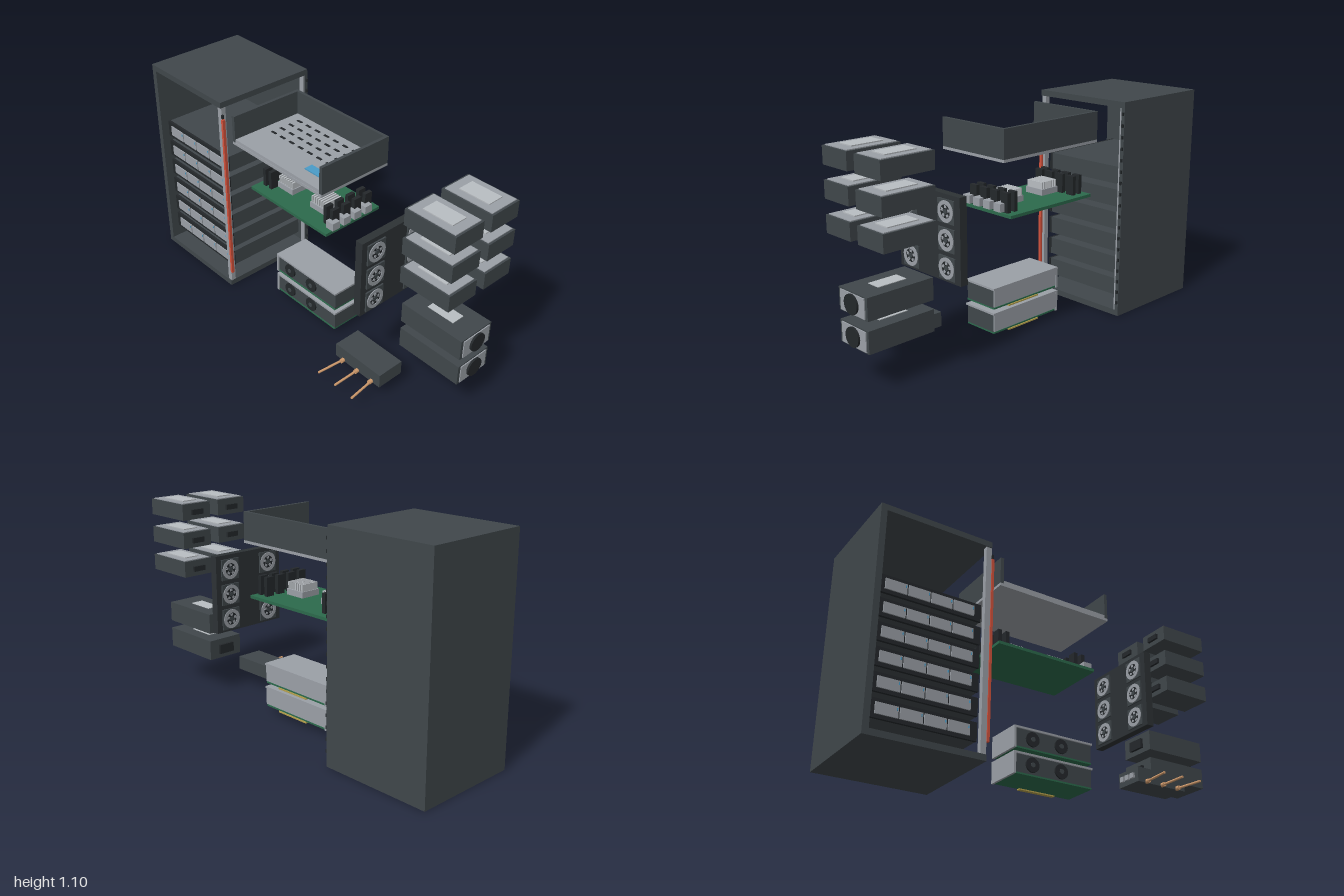
import * as THREE from 'three';

const mat = (color) => new THREE.MeshStandardMaterial({ color });
const M = {
  dark: mat(0x40474b), black: mat(0x24282b), wall: mat(0x2d3235), grey: mat(0x9ba0a7),
  light: mat(0xb9bec2), red: mat(0xd4523c), green: mat(0x2c6a4c), blue: mat(0x4a9cc8),
  copper: mat(0xcf9a6c), gold: mat(0xb5a04c),
};

// Box given by its min and max on each axis
function box(parent, name, m, x0, x1, y0, y1, z0, z1) {
  const mesh = new THREE.Mesh(new THREE.BoxGeometry(x1 - x0, y1 - y0, z1 - z0), M[m]);
  mesh.position.set((x0 + x1) / 2, (y0 + y1) / 2, (z0 + z1) / 2);
  mesh.name = name;
  parent.add(mesh);
  return mesh;
}

// Cylinder between two points
function rod(parent, name, m, r, a, b, sides = 24) {
  const p = new THREE.Vector3(...a), d = new THREE.Vector3(...b).sub(p);
  const mesh = new THREE.Mesh(new THREE.CylinderGeometry(r, r, d.length(), sides), M[m]);
  mesh.position.copy(p).addScaledVector(d, 0.5);
  mesh.quaternion.setFromUnitVectors(new THREE.Vector3(0, 1, 0), d.normalize());
  mesh.name = name;
  parent.add(mesh);
  return mesh;
}

function group(parent, name, x = 0, y = 0, z = 0) {
  const g = new THREE.Group();
  g.name = name;
  g.position.set(x, y, z);
  parent.add(g);
  return g;
}

// Cabinet, open at the front and on one side
function addCabinet(root) {
  const g = group(root, 'cabinet');
  box(g, 'cabinetBase', 'dark', -1, -0.43, 0, 0.03, -0.35, 0.2);
  box(g, 'cabinetRoof', 'dark', -1, -0.43, 1.07, 1.1, -0.35, 0.2);
  box(g, 'cabinetSide', 'dark', -1, -0.97, 0.03, 1.07, -0.35, 0.2);
  box(g, 'cabinetBack', 'dark', -0.97, -0.43, 0.03, 1.07, -0.35, -0.33);
  box(g, 'frontPost', 'grey', -0.458, -0.43, 0.03, 1.07, 0.17, 0.195);
  box(g, 'rearPost', 'grey', -0.458, -0.43, 0.03, 1.07, -0.33, -0.322);
  box(g, 'powerStrip', 'red', -0.43, -0.417, 0.09, 1.01, 0.185, 0.2);
  box(g, 'stripCap', 'black', -0.43, -0.42, 1.015, 1.035, 0.188, 0.198);
  for (let i = 0; i < 18; i++) {
    const y = 0.065 + i * 0.057;
    box(g, 'hinge', 'black', -0.43, -0.421, y, y + 0.016, -0.347, -0.338);
  }
  // Six rack units with four drive bays each
  for (let i = 0; i < 6; i++) {
    const u = group(g, 'rackUnit', 0, 0.097 + i * 0.117);
    box(u, 'unitBody', 'dark', -0.965, -0.46, 0, 0.088, -0.305, 0.145);
    box(u, 'unitBezel', 'black', -0.968, -0.457, 0, 0.088, 0.145, 0.158);
    for (let k = 0; k < 4; k++) {
      const x = -0.936 + k * 0.112;
      box(u, 'driveBay', 'grey', x, x + 0.105, 0.018, 0.07, 0.158, 0.164);
      box(u, 'driveLight', 'blue', x + 0.096, x + 0.101, 0.05, 0.062, 0.164, 0.166);
    }
  }
}

// Open tray with vent slots
function addTray(root) {
  const g = group(root, 'tray');
  box(g, 'trayBottom', 'grey', -0.37, 0.262, 0.897, 0.911, -0.232, 0.18);
  box(g, 'trayFloor', 'grey', -0.352, 0.245, 0.911, 0.928, -0.216, 0.178);
  box(g, 'trayWall', 'dark', -0.37, -0.352, 0.911, 1.05, -0.232, 0.18);
  box(g, 'trayWall', 'dark', 0.245, 0.262, 0.911, 1.05, -0.232, 0.18);
  box(g, 'trayBackWall', 'dark', -0.352, 0.245, 0.911, 1.05, -0.232, -0.216);
  box(g, 'trayLabel', 'blue', 0.07, 0.2, 0.928, 0.934, 0.065, 0.11);
  for (let r = 0; r < 4; r++) for (let c = 0; c < 8; c++) {
    const x = -0.295 + c * 0.065, z = -0.172 + r * 0.055;
    box(g, 'ventSlot', 'black', x, x + 0.032, 0.927, 0.931, z, z + 0.012);
  }
}

// Circuit board with heatsinks, memory and ports
function addBoard(root) {
  const g = group(root, 'mainBoard');
  box(g, 'boardPlate', 'green', -0.33, 0.22, 0.63, 0.645, -0.235, 0.113);
  for (const x of [-0.185, 0.055]) {
    box(g, 'heatsinkBase', 'grey', x - 0.055, x + 0.055, 0.645, 0.675, -0.095, 0.015);
    for (let i = 0; i < 7; i++) {
      const fx = x - 0.05 + i * 0.0155;
      box(g, 'heatsinkFin', 'light', fx, fx + 0.008, 0.675, 0.71, -0.09, 0.01);
    }
  }
  for (let i = 0; i < 4; i++) {
    const z = 0.035 - i * 0.07;
    for (const x of [-0.292, -0.25, 0.15, 0.194]) {
      box(g, 'memoryModule', 'black', x - 0.01, x + 0.01, 0.645, 0.74, z - 0.022, z + 0.022);
    }
    box(g, 'portBlock', 'grey', 0.183, 0.23, 0.65, 0.69, z, z + 0.045);
  }
}

// Fan wall: two columns of three fans, detailed on both faces
function addFanWall(root) {
  const g = group(root, 'fanWall', 0.507);
  box(g, 'fanPanel', 'wall', -0.02, 0.02, 0.385, 0.79, -0.235, 0.185);
  const ring = new THREE.Shape().absarc(0, 0, 0.05, 0, Math.PI * 2);
  ring.holes.push(new THREE.Path().absarc(0, 0, 0.032, 0, Math.PI * 2, true));
  const ringGeo = new THREE.ExtrudeGeometry(ring, { depth: 0.004, bevelEnabled: false, curveSegments: 20 });
  for (const y of [0.452, 0.583, 0.714]) for (const z of [0.1, -0.15]) {
    const f = group(g, 'fan', 0, y, z);
    box(f, 'fanFrame', 'dark', -0.028, 0.028, -0.054, 0.054, -0.054, 0.054);
    for (const s of [1, -1]) {
      const face = group(f, 'fanFace', s * 0.028);
      face.rotation.y = s * Math.PI / 2;
      const r = new THREE.Mesh(ringGeo, M.grey);
      r.name = 'fanRing';
      face.add(r);
      rod(face, 'fanWell', 'black', 0.032, [0, 0, 0], [0, 0, 0.001]);
      rod(face, 'fanHub', 'dark', 0.013, [0, 0, 0], [0, 0, 0.005], 5);
      for (let k = 0; k < 5; k++) {
        const arm = group(face, 'fanBladeArm');
        arm.rotation.z = k * Math.PI * 0.4;
        box(arm, 'fanBlade', 'grey', -0.007, 0.007, 0.016, 0.028, 0.001, 0.003);
      }
    }
  }
}

// Drive modules: two columns of three
function addDrives(root) {
  for (const y of [0.95, 0.803, 0.652]) for (const z of [0.032, -0.192]) {
    const g = group(root, 'driveModule', 0, y, z);
    box(g, 'driveBody', 'dark', 0.693, 0.967, 0, 0.082, -0.086, 0.086);
    box(g, 'driveCover', 'grey', 0.703, 0.957, 0.082, 0.086, -0.078, 0.078);
    box(g, 'driveLabel', 'light', 0.75, 0.91, 0.086, 0.091, -0.042, 0.042);
    box(g, 'driveConnector', 'black', 0.68, 0.693, 0.025, 0.052, -0.035, 0.035);
  }
}

// Power supplies with a round fan on the end
function addSupplies(root) {
  for (const y of [0.19, 0.338]) {
    const g = group(root, 'powerSupply', 0, y, -0.076);
    box(g, 'supplyBody', 'dark', 0.635, 0.985, 0, 0.105, -0.1, 0.1);
    box(g, 'supplyEndPlate', 'grey', 0.985, 0.99, 0.006, 0.099, -0.085, 0.085);
    rod(g, 'supplyFan', 'black', 0.046, [0.985, 0.053, 0], [1, 0.053, 0]);
    box(g, 'supplyLabel', 'light', 0.73, 0.88, 0.105, 0.108, -0.035, 0.035);
    box(g, 'supplyConnector', 'black', 0.62, 0.635, 0.025, 0.075, -0.045, 0.045);
  }
}

// Expansion cards with twin fans on the front
function addCards(root) {
  for (const y of [0.03, 0.155]) {
    const g = group(root, 'expansionCard', 0, y);
    box(g, 'cardBoard', 'green', -0.195, 0.23, 0.006, 0.014, -0.13, 0.058);
    box(g, 'cardBody', 'dark', -0.195, 0.23, 0.014, 0.103, -0.126, 0.055);
    box(g, 'cardTop', 'grey', -0.2, 0.235, 0.103, 0.113, -0.136, 0.062);
    box(g, 'cardBack', 'grey', -0.195, 0.23, 0.018, 0.103, -0.134, -0.126);
    box(g, 'cardBracket', 'grey', -0.207, -0.195, 0.005, 0.113, -0.136, 0.062);
    box(g, 'edgeContacts', 'gold', -0.065, 0.135, 0, 0.007, -0.136, -0.115);
    for (const x of [-0.105, 0.055]) {
      rod(g, 'cardFan', 'black', 0.036, [x, 0.06, 0.05], [x, 0.06, 0.063]);
      rod(g, 'cardFanHub', 'dark', 0.012, [x, 0.06, 0.05], [x, 0.06, 0.066], 12);
    }
  }
}

// Module with three splayed copper pins
function addPinModule(root) {
  const g = group(root, 'pinModule');
  box(g, 'pinModuleBody', 'dark', 0.397, 0.688, 0.07, 0.143, 0.06, 0.204);
  for (const z of [0.093, 0.13, 0.167]) {
    box(g, 'sidePort', 'grey', 0.385, 0.397, 0.093, 0.118, z - 0.012, z + 0.012);
  }
  for (const [a, b] of [[0.45, 0.434], [0.545, 0.545], [0.638, 0.656]]) {
    rod(g, 'pin', 'copper', 0.006, [a, 0.077, 0.2], [b, 0.077, 0.35], 12);
    rod(g, 'pinCollar', 'copper', 0.011, [a, 0.077, 0.2], [a, 0.077, 0.222], 12);
  }
}

export function createModel() {
  const root = new THREE.Group();
  root.name = 'explodedServerCabinet';
  [addCabinet, addTray, addBoard, addFanWall, addDrives, addSupplies, addCards, addPinModule]
    .forEach((add) => add(root));
  return root;
}
